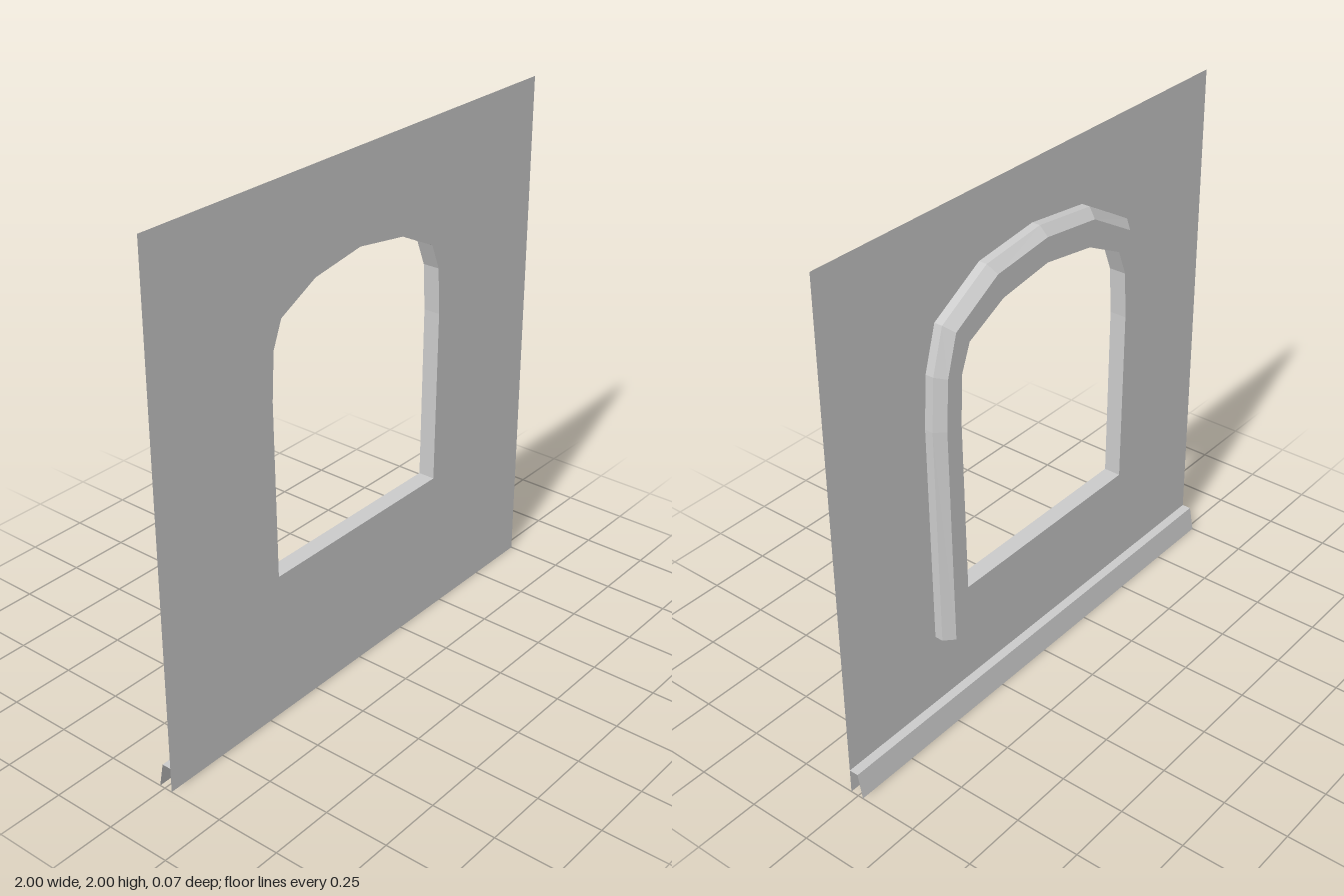
import * as THREE from 'three';

const FRONT = 0.032, MID = 0, BACK = -0.034;

// Right half outlines, from the bottom up to the crown
const OPENING = [[0.44, 0.575], [0.45, 1.25], [0.44, 1.43], [0.4, 1.53], [0.23, 1.615], [0, 1.65]];
const OUTER = [[0.545, 0.388], [0.553, 1.25], [0.54, 1.45], [0.49, 1.615], [0.27, 1.742], [0, 1.775]];
const FACE = [[0.51, 0.388], [0.52, 1.25], [0.508, 1.44], [0.463, 1.59], [0.255, 1.71], [0, 1.742]];

const material = new THREE.MeshStandardMaterial({
  color: 0xcccccc, flatShading: true, side: THREE.DoubleSide,
});

// Complete a half outline by mirroring it across x = 0
function mirror(half) {
  return [...half, ...half.slice(0, -1).reverse().map(([x, y]) => [-x, y])];
}

// Join matching cross-sections (lists of [x, y, z]) with quads
function loft(sections, closed = false) {
  const n = sections[0].length;
  const index = [];
  for (let s = 0; s < sections.length - 1; s++) {
    for (let i = 0; i < (closed ? n : n - 1); i++) {
      const j = (i + 1) % n;
      const a = s * n + i, b = s * n + j, c = a + n, d = b + n;
      index.push(a, c, b, b, c, d);
    }
  }
  const geometry = new THREE.BufferGeometry();
  geometry.setAttribute('position', new THREE.Float32BufferAttribute(sections.flat(2), 3));
  geometry.setIndex(index);
  const flat = geometry.toNonIndexed();
  flat.computeVertexNormals();
  return flat;
}

function toVectors(points) {
  return points.map(([x, y]) => new THREE.Vector2(x, y));
}

// Flat sheet with the window opening cut out
function sheet(outline, z) {
  const shape = new THREE.Shape(toVectors(outline));
  shape.holes.push(new THREE.Path(toVectors(mirror(OPENING))));
  return new THREE.ShapeGeometry(shape).translate(0, 0, z);
}

function atDepth(half, z) {
  return mirror(half).map(([x, y]) => [x, y, z]);
}

export function createModel() {
  const model = new THREE.Group();
  model.name = 'windowWall';
  const add = (name, geometry, parent = model) => {
    const mesh = new THREE.Mesh(geometry, material);
    mesh.name = name;
    parent.add(mesh);
  };

  // Wall panel
  add('wallPanel', sheet([[-1, 0], [1, 0], [1, 2], [-1, 2]], FRONT));

  // Arched surround: raised back face, bevelled outer edge, deep reveal
  const surround = new THREE.Group();
  surround.name = 'windowSurround';
  model.add(surround);
  const face = sheet(mirror(FACE), BACK);
  face.setIndex([...face.index.array].reverse()); // turn towards the back
  face.computeVertexNormals();
  add('surroundFace', face, surround);
  add('surroundEdge', loft([
    atDepth(OUTER, FRONT), atDepth(OUTER, MID), atDepth(FACE, BACK),
  ]), surround);
  add('windowReveal', loft([
    atDepth(OPENING, BACK), atDepth(OPENING, FRONT),
  ], true), surround);

  // Skirting: a narrow ledge with a sloping front, open underneath
  const profile = [[0.098, FRONT], [0.098, -0.004], [0, -0.022]];
  add('skirting', loft(profile.map(([y, z]) => [[-1, y, z], [1, y, z]])));

  return model;
}
